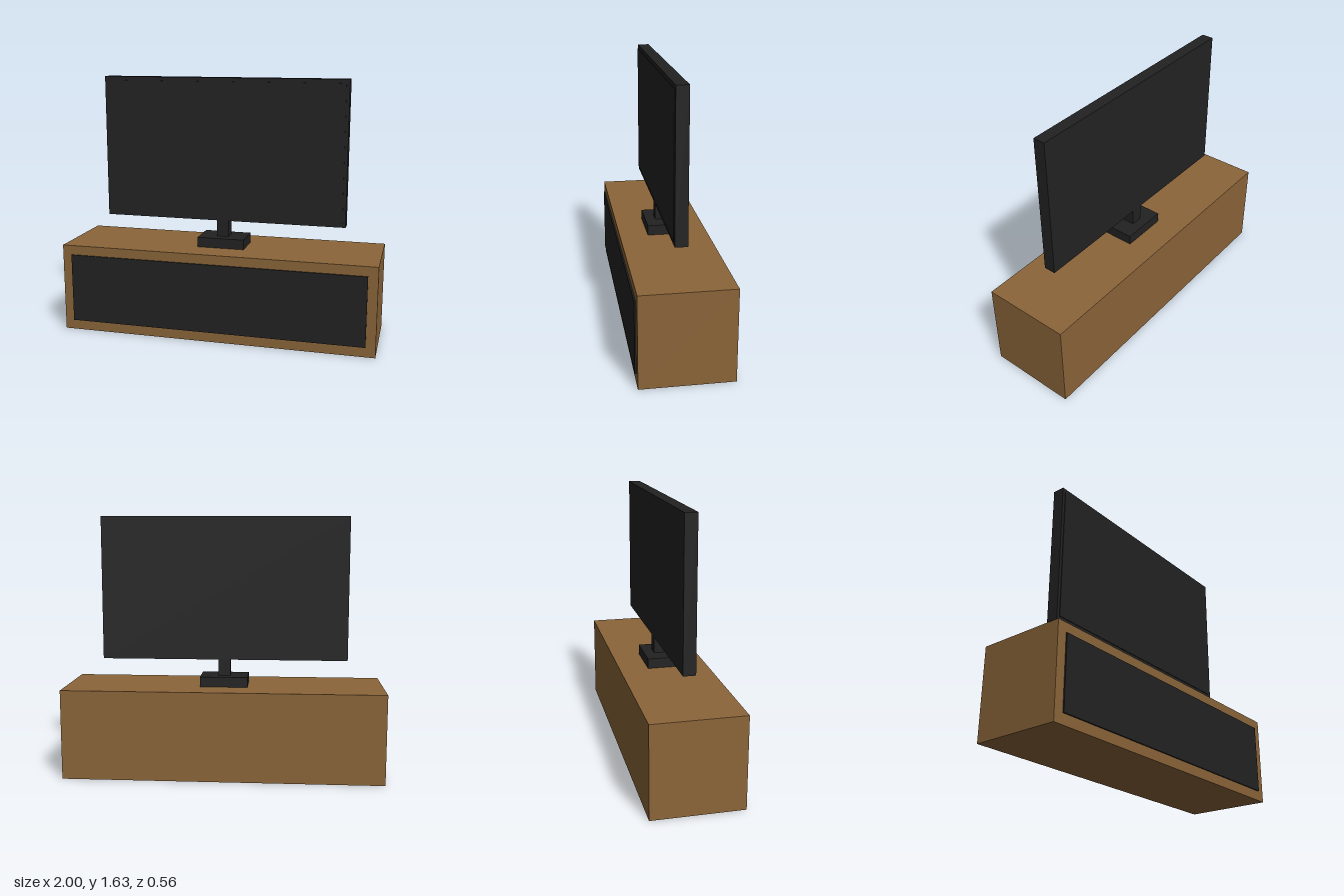
import * as THREE from 'three';

export function createModel() {
  const model = new THREE.Group();
  model.name = 'televisionOnCabinet';

  const wood = new THREE.MeshStandardMaterial({ color: 0x8b6539 });
  wood.name = 'brown wood';
  const black = new THREE.MeshStandardMaterial({ color: 0x222222 });
  black.name = 'black plastic';

  // Box given by its width (centred on x) and its y and z ranges
  function box(name, material, width, [y0, y1], [z0, z1], parent) {
    const mesh = new THREE.Mesh(new THREE.BoxGeometry(width, y1 - y0, z1 - z0), material);
    mesh.position.set(0, (y0 + y1) / 2, (z0 + z1) / 2);
    mesh.name = name;
    parent.add(mesh);
  }

  // Low cabinet with a dark front panel
  const cabinet = new THREE.Group();
  cabinet.name = 'cabinet';
  box('cabinetBody', wood, 2, [0, 0.5625], [-0.281, 0.272], cabinet);
  box('frontPanel', black, 1.88, [0.063, 0.502], [0.272, 0.281], cabinet);

  // Television: foot, neck, housing and slightly raised screen
  const television = new THREE.Group();
  television.name = 'television';
  box('standFoot', black, 0.3, [0.5625, 0.625], [-0.104, 0.096], television);
  box('standNeck', black, 0.075, [0.625, 0.728], [-0.041, 0.034], television);
  box('housing', black, 1.55, [0.728, 1.626], [-0.041, 0.034], television);
  box('screen', black, 1.51, [0.752, 1.602], [0.034, 0.038], television);

  model.add(cabinet, television);
  return model;
}
